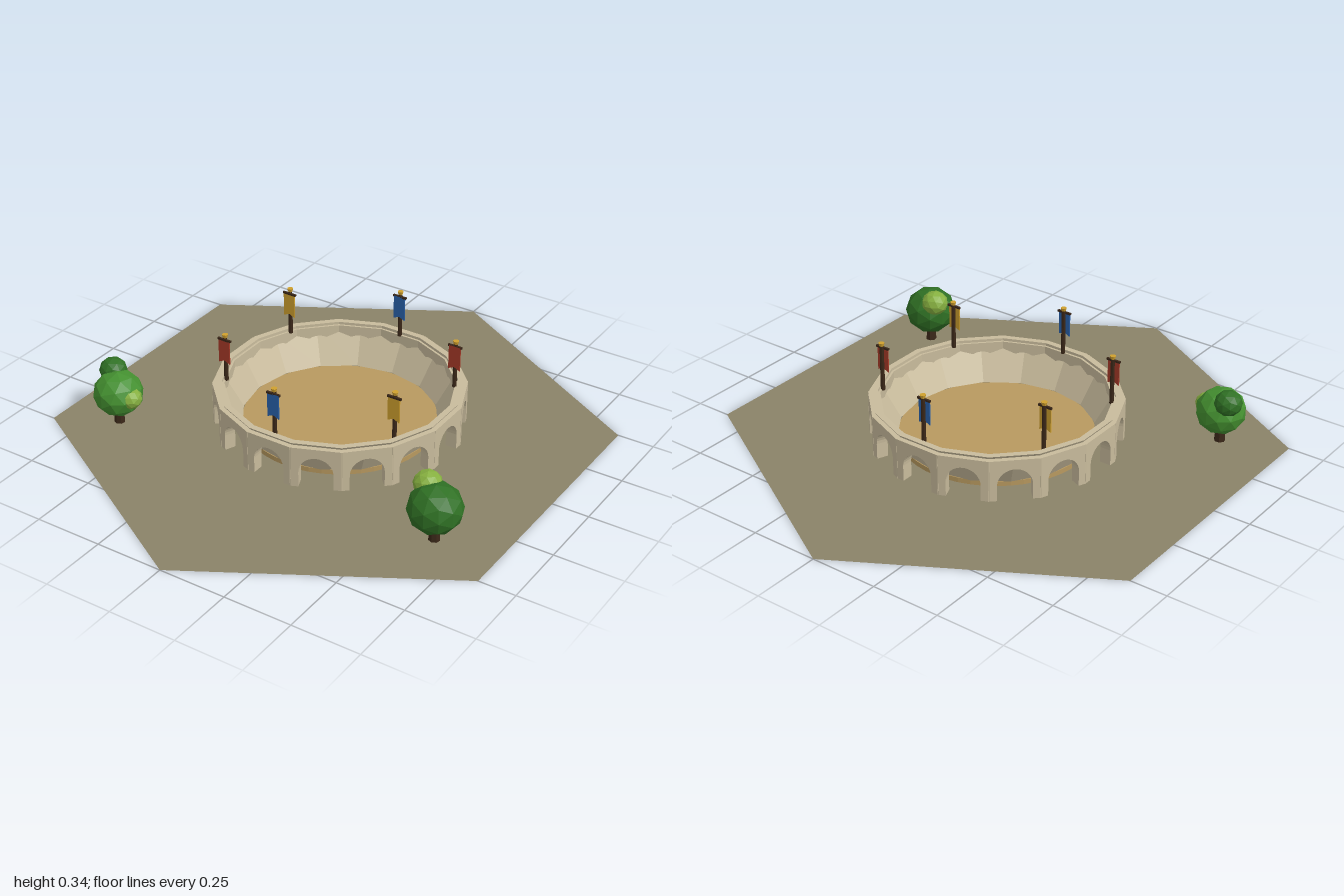
import * as THREE from 'three';

const mat = (name, color, opts = {}) => {
  const m = new THREE.MeshStandardMaterial({ color, flatShading: true, ...opts });
  m.name = name;
  return m;
};

export function createModel() {
  const DS = { side: THREE.DoubleSide };
  const ground = mat('earth', 0x8a8268, DS);
  const sand = mat('sand', 0xb8995f);
  const stone = mat('stone', 0xc8bb9c, DS);
  const wood = mat('darkWood', 0x3a2718);
  const gold = mat('gold', 0xcfa02e);
  const red = mat('red', 0xa83a28);
  const blue = mat('blue', 0x2a62ac);
  const darkLeaf = mat('darkLeaf', 0x2f7024);
  const midLeaf = mat('midLeaf', 0x449030);
  const lightLeaf = mat('lightLeaf', 0x86b040);

  const model = new THREE.Group();
  const add = (parent, name, geometry, material, x = 0, y = 0, z = 0) => {
    const mesh = new THREE.Mesh(geometry, material);
    mesh.name = name;
    mesh.position.set(x, y, z);
    parent.add(mesh);
    return mesh;
  };

  // Hexagonal ground tile, corners pointing front and back
  add(model, 'groundTile', new THREE.CircleGeometry(1, 6, Math.PI / 2).rotateX(-Math.PI / 2), ground);

  const arena = new THREE.Group();
  arena.name = 'arena';
  arena.position.z = -0.04;
  model.add(arena);
  add(arena, 'sandFloor', new THREE.CylinderGeometry(0.347, 0.347, 0.018, 48), sand, 0, 0.017, 0);

  // Sloping seating bowl, turned half a step against the arcade
  add(arena, 'seatingBowl', new THREE.CylinderGeometry(0.43, 0.35, 0.137, 16, 1, true), stone, 0, 0.0945, 0);

  // Arcade: sixteen panels with an arched opening
  const SIDES = 16, BASE = 0.01, TOP = 0.163, HALF = 0.0895, ARCH = 0.06;
  const shape = new THREE.Shape();
  shape.moveTo(-HALF, BASE);
  shape.lineTo(-ARCH, BASE);
  shape.lineTo(-ARCH, 0.068);
  shape.absarc(0, 0.068, ARCH, Math.PI, 0, true);
  shape.lineTo(ARCH, BASE);
  shape.lineTo(HALF, BASE);
  shape.lineTo(HALF, TOP);
  shape.lineTo(-HALF, TOP);
  const panel = new THREE.ExtrudeGeometry(shape, { depth: 0.042, bevelEnabled: false, curveSegments: 8 });
  panel.translate(0, 0, 0.398);
  for (let i = 0; i < SIDES; i++) {
    add(arena, 'archPanel', panel, stone).rotation.y = (i / SIDES) * Math.PI * 2;
  }

  // Cornice ring on top of the arcade
  const k = 1 / Math.cos(Math.PI / SIDES);
  const ring = [[0.406, 0.16], [0.42, 0.16], [0.428, 0.173], [0.406, 0.173], [0.406, 0.16]];
  const cornice = new THREE.LatheGeometry(ring.map(([r, y]) => new THREE.Vector2(r * k, y)), SIDES);
  add(arena, 'cornice', cornice, stone).rotation.y = Math.PI / SIDES;

  // Swallow-tailed banners on poles, all facing the front
  const flag = new THREE.Shape([[-0.023, 0.325], [-0.023, 0.232], [0, 0.243], [0.023, 0.232], [0.023, 0.325]]
    .map(([x, y]) => new THREE.Vector2(x, y)));
  const flagGeo = new THREE.ExtrudeGeometry(flag, { depth: 0.004, bevelEnabled: false });
  const poleGeo = new THREE.CylinderGeometry(0.007, 0.008, 0.175, 8);
  const barGeo = new THREE.BoxGeometry(0.054, 0.007, 0.008);
  const finialGeo = new THREE.CylinderGeometry(0.011, 0.008, 0.012, 8);
  const cloths = [blue, gold, red];
  for (let i = 0; i < 6; i++) {
    const a = (i / 6) * Math.PI * 2;
    const banner = new THREE.Group();
    banner.name = 'bannerPole';
    banner.position.set(Math.sin(a) * 0.4, 0, Math.cos(a) * 0.4);
    arena.add(banner);
    add(banner, 'pole', poleGeo, wood, 0, 0.2475, 0);
    add(banner, 'crossbar', barGeo, wood, 0, 0.324, 0.005);
    add(banner, 'finial', finialGeo, gold, 0, 0.338, 0);
    add(banner, 'cloth', flagGeo, cloths[i % 3], 0, 0, 0.005);
  }

  // Trees: tapered trunk and faceted clumps [material, x, y, z, radius]
  const tree = (name, x, z, clumps) => {
    const g = new THREE.Group();
    g.name = name;
    g.position.set(x, 0, z);
    model.add(g);
    add(g, 'trunk', new THREE.CylinderGeometry(0.014, 0.02, 0.09, 7), wood, 0, 0.053, 0);
    clumps.forEach(([m, cx, cy, cz, r], i) => {
      const leaf = add(g, 'foliage', new THREE.IcosahedronGeometry(r, 1), m, cx, cy, cz);
      leaf.scale.y = 0.92;
      leaf.rotation.y = i * 1.3 + x;
    });
  };
  tree('leftTree', 0.645, 0.395, [
    [darkLeaf, 0, 0.132, 0, 0.095], [lightLeaf, -0.05, 0.188, -0.035, 0.05],
  ]);
  tree('rightTree', -0.648, 0.395, [
    [midLeaf, 0.002, 0.127, 0, 0.09], [darkLeaf, -0.046, 0.187, -0.037, 0.05],
    [lightLeaf, 0.064, 0.13, 0.01, 0.042],
  ]);

  return model;
}
